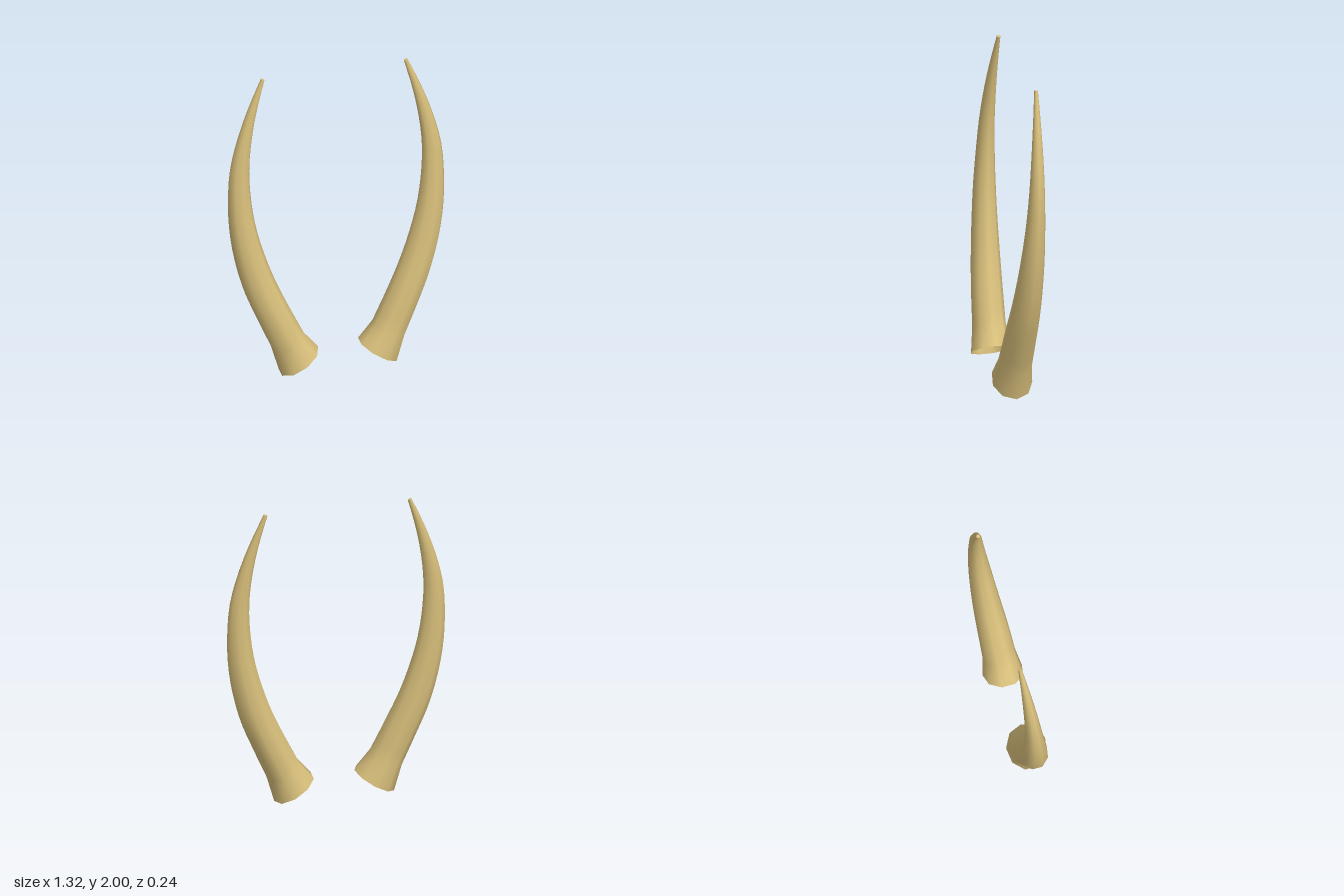
import * as THREE from 'three';

const SIDES = 9;
const STEPS = 24;

// Centre line stations: x, y, z, radius across, radius in depth
const BASE = [0.243, 0.076, 0, 0.14, 0.122];
const STATIONS = [
  [0.31, 0.215, -0.004, 0.108, 0.101],
  [0.40, 0.42, -0.014, 0.103, 0.095],
  [0.473, 0.6, -0.025, 0.1, 0.087],
  [0.533, 0.8, -0.036, 0.092, 0.077],
  [0.573, 1.0, -0.046, 0.081, 0.067],
  [0.59, 1.2, -0.056, 0.07, 0.056],
  [0.587, 1.4, -0.065, 0.059, 0.046],
  [0.555, 1.6, -0.075, 0.044, 0.036],
  [0.503, 1.8, -0.086, 0.028, 0.024],
  [0.437, 1.995, -0.098, 0.012, 0.011],
];

// Tapered tube with an open flared base and a closed tip
function hornGeometry(side) {
  const centres = new THREE.CatmullRomCurve3(
    STATIONS.map(([x, y, z]) => new THREE.Vector3(x * side, y, z)));
  const radii = new THREE.CatmullRomCurve3(
    STATIONS.map(([, , , a, b]) => new THREE.Vector3(a, b, 0)), false, 'catmullrom', 0.5);

  const positions = [];
  const indices = [];
  const addRing = (c, tangent, across, depth) => {
    const len = Math.hypot(tangent.x, tangent.y);
    for (let k = 0; k < SIDES; k++) {
      const a = (k / SIDES) * Math.PI * 2;
      const r = across * Math.cos(a);
      positions.push(
        c.x + (tangent.y / len) * r,
        c.y - (tangent.x / len) * r,
        c.z + depth * Math.sin(a));
    }
  };

  // Flared base ring, then the rings along the curve
  addRing(new THREE.Vector3(BASE[0] * side, BASE[1], BASE[2]),
    new THREE.Vector3(0.525 * side, 0.85, 0), BASE[3], BASE[4]);
  for (let i = 0; i <= STEPS; i++) {
    const t = i / STEPS;
    const r = radii.getPoint(t);
    addRing(centres.getPoint(t), centres.getTangent(t), r.x, r.y);
  }
  for (let j = 0; j <= STEPS; j++) {
    for (let k = 0; k < SIDES; k++) {
      const n = (k + 1) % SIDES;
      const a = j * SIDES + k, b = j * SIDES + n;
      indices.push(a, a + SIDES, b, b, a + SIDES, b + SIDES);
    }
  }

  // Flat tip with its own vertices, so its edge stays sharp
  const tip = positions.length / 3;
  positions.push(...positions.slice(-SIDES * 3));
  for (let k = 1; k < SIDES - 1; k++) indices.push(tip, tip + k + 1, tip + k);

  const geometry = new THREE.BufferGeometry();
  geometry.setAttribute('position', new THREE.Float32BufferAttribute(positions, 3));
  geometry.setIndex(indices);
  geometry.computeVertexNormals();
  return geometry;
}

export function createModel() {
  const group = new THREE.Group();
  group.name = 'hornPair';
  const horn = new THREE.MeshStandardMaterial({ color: 0xd8bf7b, side: THREE.DoubleSide });
  horn.name = 'horn';

  for (const [name, side] of [['leftHorn', 1], ['rightHorn', -1]]) {
    const mesh = new THREE.Mesh(hornGeometry(side), horn);
    mesh.name = name;
    group.add(mesh);
  }
  return group;
}
